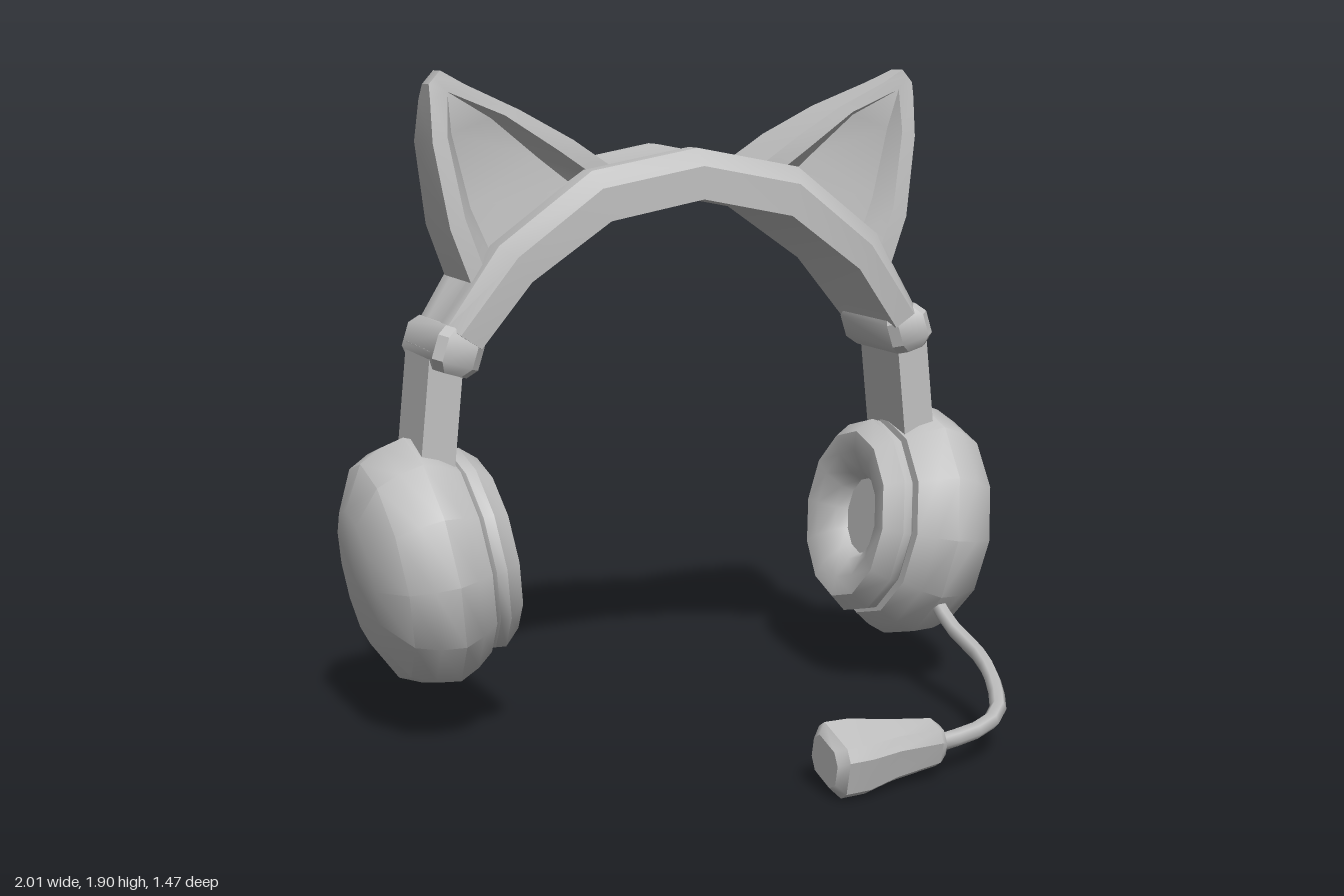
import * as THREE from 'three';
import { toCreasedNormals } from 'three/addons/utils/BufferGeometryUtils.js';

const ZC = -0.37; // depth of the headset's middle plane

// Positions only, wound outward, with smooth normals and sharp creases.
function finish(geometry, crease = 0.62) {
  const src = geometry.index ? geometry.toNonIndexed() : geometry;
  const p = src.attributes.position.array.slice();
  const a = new THREE.Vector3(), b = new THREE.Vector3(), c = new THREE.Vector3();
  let volume = 0;
  for (let i = 0; i < p.length; i += 9) {
    a.fromArray(p, i); b.fromArray(p, i + 3); c.fromArray(p, i + 6);
    volume += a.dot(b.cross(c));
  }
  if (volume < 0) {
    for (let i = 0; i < p.length; i += 9) {
      for (let k = 3; k < 6; k++) [p[i + k], p[i + k + 3]] = [p[i + k + 3], p[i + k]];
    }
  }
  const out = new THREE.BufferGeometry();
  out.setAttribute('position', new THREE.BufferAttribute(p, 3));
  return toCreasedNormals(out, crease);
}

// Closed skin over a row of cross-sections with equal point counts.
function loft(sections) {
  const n = sections[0].length, last = (sections.length - 1) * n, index = [];
  for (let s = 0; s < last; s += n) {
    for (let i = 0; i < n; i++) {
      const j = (i + 1) % n;
      index.push(s + i, s + j, s + n + j, s + i, s + n + j, s + n + i);
    }
  }
  for (let i = 1; i < n - 1; i++) {
    index.push(0, i + 1, i, last, last + i, last + i + 1);
  }
  const g = new THREE.BufferGeometry();
  g.setAttribute('position', new THREE.Float32BufferAttribute(sections.flat(2), 3));
  g.setIndex(index);
  return g;
}

// Rectangle with cut corners, as [u, v] pairs.
function cutRect(hu, hv, cut) {
  return [[hu, -hv + cut], [hu, hv - cut], [hu - cut, hv], [-hu + cut, hv],
    [-hu, hv - cut], [-hu, -hv + cut], [-hu + cut, -hv], [hu - cut, -hv]];
}

function headband() {
  // x/y of inner face, side edge and top, then half width
  const half = [
    [[0, 1.535], [0, 1.63], [0, 1.68], 0.245],
    [[0.28, 1.48], [0.305, 1.572], [0.32, 1.62], 0.24],
    [[0.51, 1.315], [0.55, 1.385], [0.59, 1.415], 0.22],
    [[0.65, 1.13], [0.71, 1.17], [0.735, 1.19], 0.19],
  ];
  const mirrored = half.slice(1).reverse()
    .map(([a, b, c, w]) => [[-a[0], a[1]], [-b[0], b[1]], [-c[0], c[1]], w]);
  return loft([...mirrored, ...half].map(([inner, edge, top, w]) => {
    const mid = [0, 1].map((k) => top[k] + (edge[k] - top[k]) * 0.5);
    return [[inner, -w], [edge, -w], [top, -w + 0.05], [top, -w + 0.12], [mid, 0],
      [top, w - 0.12], [top, w - 0.05], [edge, w], [inner, w]]
      .map(([q, z]) => [q[0], q[1], ZC + z]);
  }));
}

function ear() {
  // outer edge, upper edge, front z, back z, inset fraction, recess depth
  const rows = [
    [[0.66, 1.31], [0.24, 1.63], -0.245, -0.51, 0.1, 0.06],
    [[0.715, 1.46], [0.35, 1.705], -0.25, -0.505, 0.12, 0.07],
    [[0.754, 1.70], [0.5, 1.79], -0.275, -0.47, 0.17, 0.05],
    [[0.755, 1.82], [0.655, 1.862], -0.29, -0.41, 0.5, 0],
    [[0.755, 1.862], [0.722, 1.9], -0.3, -0.37, 0.5, 0],
  ];
  return loft(rows.map(([o, u, front, back, inset, depth]) => {
    const at = (f, z) => [o[0] + (u[0] - o[0]) * f, o[1] + (u[1] - o[1]) * f, z];
    const floor = depth ? inset + 0.1 : 0.5;
    return [at(0, front), at(0, back), at(1, back), at(1, front), at(1 - inset, front),
      at(1 - floor, front - depth), at(floor, front - depth), at(inset, front)];
  }));
}

// Ear cup shell or cushion, turned on the tilted cup axis.
function turned(profile) {
  return new THREE.LatheGeometry(profile.map(([r, h]) => new THREE.Vector2(r, h)), 12)
    .rotateZ(-Math.PI / 2 - 0.155).translate(0.775, 0.497, ZC);
}

function collar() {
  const rows = [[-0.065, 0.05, 0.165], [-0.035, 0.07, 0.185], [0.035, 0.07, 0.185], [0.065, 0.05, 0.165]];
  return loft(rows.map(([y, hx, hz]) => cutRect(hx, hz, 0.025).map(([x, z]) => [x, y, z])))
    .rotateZ(0.3).translate(0.71, 1.12, ZC);
}

function microphone() {
  // x, half depth, half height, centre z
  const rows = [[0.03, 0.075, 0.055, 0.628], [0.055, 0.1, 0.075, 0.626], [0.13, 0.098, 0.075, 0.618],
    [0.23, 0.075, 0.068, 0.604], [0.375, 0.058, 0.058, 0.59], [0.395, 0.044, 0.044, 0.59]];
  const tilt = 0.25, c = Math.cos(tilt), s = Math.sin(tilt);
  return loft(rows.map(([x, hz, hy, z0]) => cutRect(hz, hy, 0.028)
    .map(([z, y]) => [x, 0.09 + y * c - z * s, z0 + z * c + y * s])));
}

function boom() {
  const path = [[0.77, 0.285, -0.13], [0.757, 0.235, 0], [0.745, 0.19, 0.2], [0.70, 0.15, 0.36],
    [0.625, 0.115, 0.5], [0.53, 0.098, 0.56], [0.37, 0.09, 0.61]];
  const curve = new THREE.CatmullRomCurve3(path.map((q) => new THREE.Vector3(...q)));
  return new THREE.TubeGeometry(curve, 12, 0.024, 6);
}

export function createModel() {
  const model = new THREE.Group();
  model.name = 'headset';
  const grey = new THREE.MeshStandardMaterial({ color: 0xc0c0c0 });
  grey.name = 'grey';

  function add(name, geometry, crease) {
    const mesh = new THREE.Mesh(finish(geometry, crease), grey);
    mesh.name = name;
    model.add(mesh);
  }
  function addPair(name, geometry, crease) {
    add('left' + name, geometry, crease);
    add('right' + name, geometry.clone().scale(-1, 1, 1), crease);
  }

  add('headband', headband());
  addPair('Ear', ear());
  addPair('Collar', collar());
  addPair('Slider', new THREE.BoxGeometry(0.1, 0.42, 0.255).rotateZ(0.1).translate(0.754, 0.91, ZC));

  // Cup shell with a shallow domed outer face
  addPair('CupShell', turned([[0, -0.11], [0.31, -0.11], [0.345, -0.06], [0.37, 0], [0.355, 0.07],
    [0.322, 0.135], [0.2, 0.2], [0, 0.21]]));
  // Ring cushion with a hollow for the ear
  addPair('Cushion', turned([[0, -0.13], [0.12, -0.13], [0.14, -0.165], [0.2, -0.2], [0.262, -0.205],
    [0.305, -0.155], [0.3, -0.125], [0.27, -0.105], [0, -0.105]]), 0.75);

  add('microphoneBoom', boom(), 1.1);
  add('microphone', microphone());
  return model;
}
